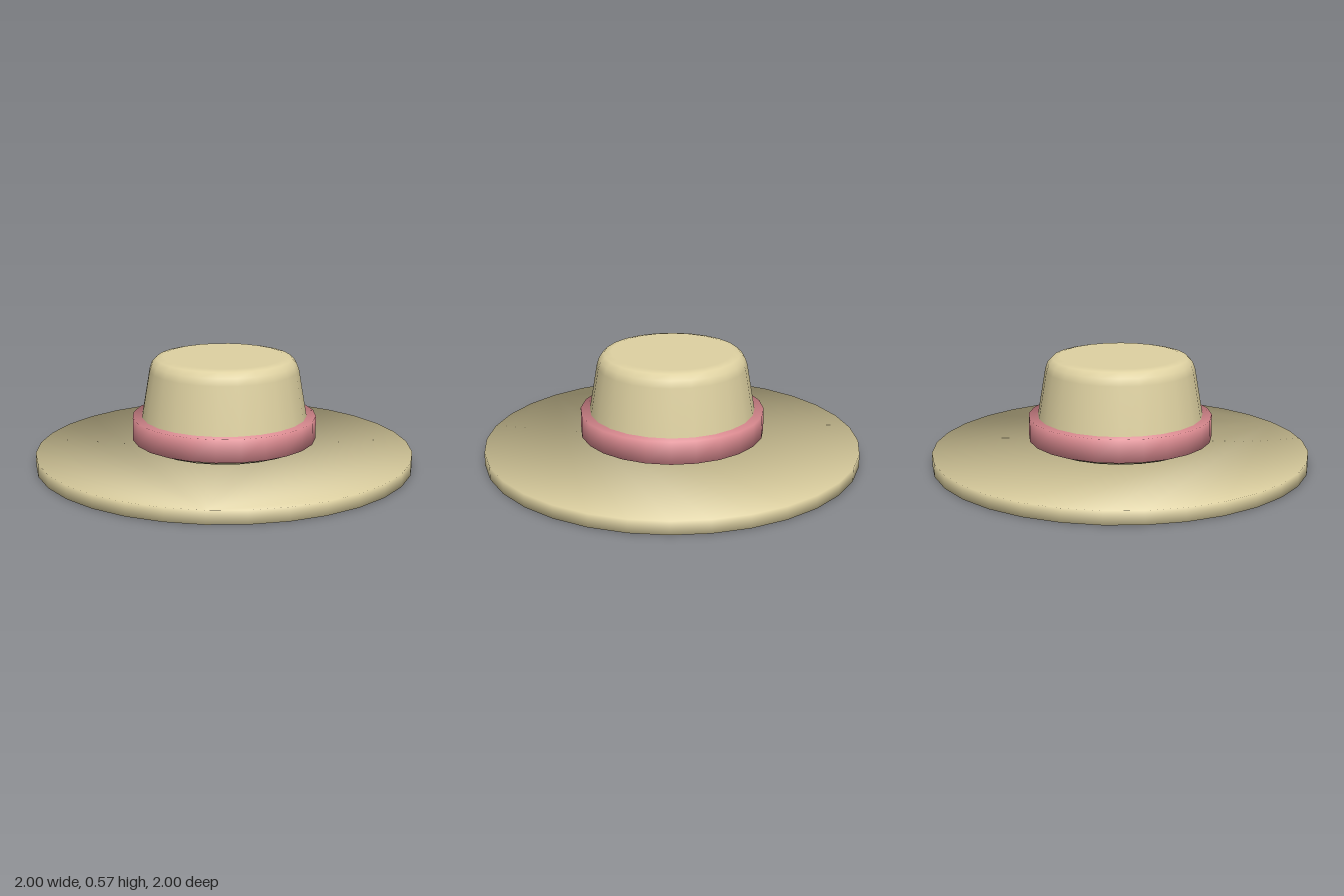
import * as THREE from 'three';

// Closed turned solid with smooth shading that runs over its flat end caps.
// Each row is [radius, height, tilt of the normal above horizontal in degrees].
function turned(sides, rows) {
  const positions = [], normals = [], index = [];
  for (const [r, y, tilt] of rows) {
    const t = THREE.MathUtils.degToRad(tilt);
    for (let j = 0; j < sides; j++) {
      const a = (j / sides) * Math.PI * 2;
      positions.push(Math.sin(a) * r, y, Math.cos(a) * r);
      normals.push(Math.sin(a) * Math.cos(t), Math.sin(t), Math.cos(a) * Math.cos(t));
    }
  }
  // walls
  for (let i = 0; i < rows.length - 1; i++) {
    for (let j = 0; j < sides; j++) {
      const a = i * sides + j, b = i * sides + (j + 1) % sides;
      index.push(a, b, b + sides, a, b + sides, a + sides);
    }
  }
  // caps
  const top = (rows.length - 1) * sides;
  for (let j = 1; j < sides - 1; j++) {
    index.push(0, j + 1, j);
    index.push(top, top + j, top + j + 1);
  }
  const geometry = new THREE.BufferGeometry();
  geometry.setAttribute('position', new THREE.Float32BufferAttribute(positions, 3));
  geometry.setAttribute('normal', new THREE.Float32BufferAttribute(normals, 3));
  geometry.setIndex(index);
  return geometry;
}

export function createModel() {
  const straw = new THREE.MeshStandardMaterial({ color: 0xdfd2a2 });
  straw.name = 'straw';
  const pink = new THREE.MeshStandardMaterial({ color: 0xdf8d93 });
  pink.name = 'pink ribbon';

  const hat = new THREE.Group();
  hat.name = 'hat';
  const add = (name, geometry, material) => {
    const mesh = new THREE.Mesh(geometry, material);
    mesh.name = name;
    hat.add(mesh);
  };

  // wide flat brim
  add('brim', turned(32, [[1, 0, -31], [1, 0.07, 31]]), straw);

  // tapered crown with rounded edges, just above the brim
  add('crown', turned(24, [
    [0.41, 0.1, -90], [0.44, 0.113, -50], [0.457, 0.145, 8],
    [0.396, 0.5, 10], [0.383, 0.537, 32], [0.358, 0.563, 62], [0.32, 0.572, 90],
  ]), straw);

  // ribbon around the foot of the crown
  add('hatBand', turned(24, [[0.488, 0.132, -31], [0.488, 0.253, 31]]), pink);

  return hat;
}
